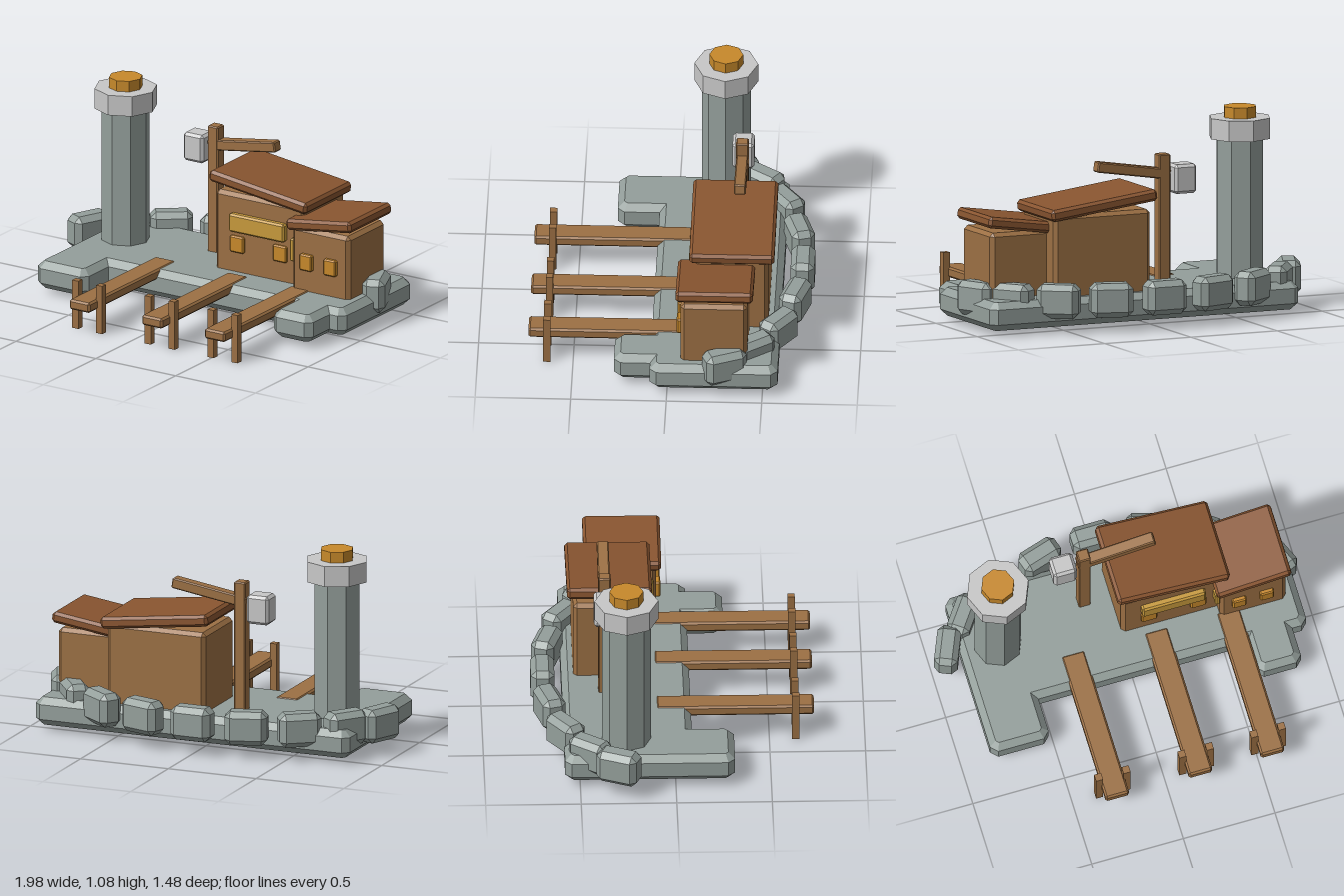
import * as THREE from 'three';
import { ConvexGeometry } from 'three/addons/geometries/ConvexGeometry.js';

const mat = (name, color) => {
  const m = new THREE.MeshStandardMaterial({ color });
  m.name = name;
  m.flatShading = true;
  return m;
};

// Box with every edge and corner chamfered by c
function chamferBox(w, h, d, c) {
  const pts = [];
  for (const x of [-1, 1]) for (const y of [-1, 1]) for (const z of [-1, 1]) {
    const a = x * w / 2, b = y * h / 2, e = z * d / 2;
    pts.push(new THREE.Vector3(a, b - y * c, e - z * c));
    pts.push(new THREE.Vector3(a - x * c, b, e - z * c));
    pts.push(new THREE.Vector3(a - x * c, b - y * c, e));
  }
  return new ConvexGeometry(pts);
}

export function createModel() {
  const model = new THREE.Group();
  model.name = 'harbour';
  const stone = mat('stone', 0x949f9b);
  const wood = mat('wood', 0x9c7044);
  const roofing = mat('roofing', 0x895530);
  const pale = mat('paleGrey', 0xc8c8c8);
  const gold = mat('gold', 0xc7892b);
  const signGold = mat('signGold', 0xc79a3c);

  const add = (name, geometry, material, x, y, z) => {
    const mesh = new THREE.Mesh(geometry, material);
    mesh.name = name;
    mesh.position.set(x, y, z);
    model.add(mesh);
    return mesh;
  };
  // Chamfered block given by its limits
  const block = (name, material, x0, x1, y0, y1, z0, z1, c) =>
    add(name, chamferBox(x1 - x0, y1 - y0, z1 - z0, c), material,
      (x0 + x1) / 2, (y0 + y1) / 2, (z0 + z1) / 2);

  // Quay slab with two arms, outer corners cut, bevelled top and bottom
  const k = 0.035;
  const outline = [
    [-0.84 + k, -0.58], [0.95 - k, -0.58], [0.95, -0.58 + k], [0.95, 0.09 - k], [0.95 - k, 0.09],
    [0.865, 0.09], [0.865, 0.28 - k], [0.865 - k, 0.28], [0.62 + k, 0.28], [0.62, 0.28 - k],
    [0.62, 0.09], [-0.52, 0.09], [-0.52, 0.31 - k], [-0.52 - k, 0.31], [-0.84 + k, 0.31],
    [-0.84, 0.31 - k], [-0.84, -0.58 + k],
  ];
  const slab = new THREE.ExtrudeGeometry(
    new THREE.Shape(outline.map(([x, z]) => new THREE.Vector2(x, z))),
    { depth: 0.15 - 2 * k, bevelThickness: k, bevelSize: k, bevelOffset: -k, bevelSegments: 1 });
  slab.rotateX(Math.PI / 2);
  add('quay', slab, stone, 0, 0.18 - k, 0);

  // Breakwater rocks in a mirrored arc
  const rocks = [[0.9, -0.3, 67], [0.77, -0.447, 54], [0.562, -0.572, 36], [0.294, -0.65, 17], [0, -0.68, 0]];
  for (const [x, z, deg] of rocks) {
    for (const side of x ? [-1, 1] : [1]) {
      const rock = add('breakwaterRock', chamferBox(0.225, 0.18, 0.125, 0.03), stone, side * x, 0.17, z);
      rock.rotation.y = -side * THREE.MathUtils.degToRad(deg);
    }
  }

  // Lighthouse: shaft, gallery and lamp
  const tower = (name, material, r, y0, y1) =>
    add(name, new THREE.CylinderGeometry(r, r, y1 - y0, 8), material, -0.64, (y0 + y1) / 2, -0.255);
  tower('towerShaft', stone, 0.128, 0.16, 0.92);
  tower('towerGallery', pale, 0.167, 0.91, 1.02);
  tower('towerLamp', gold, 0.089, 1.01, 1.078);

  // Houses
  block('mainHouse', wood, 0, 0.56, 0.15, 0.61, -0.518, -0.13, 0.02);
  block('sideHouse', wood, 0.52, 0.88, 0.15, 0.525, -0.42, -0.07, 0.02);
  add('mainRoof', chamferBox(0.615, 0.062, 0.445, 0.015), roofing, 0.28, 0.65, -0.328).rotation.z = -0.125;
  add('sideRoof', chamferBox(0.41, 0.06, 0.405, 0.015), roofing, 0.7, 0.56, -0.247).rotation.z = 0.14;

  // Windows, sign board and side plate
  for (const x of [0.147, 0.415])
    block('mainWindow', gold, x - 0.043, x + 0.043, 0.29, 0.38, -0.135, -0.112, 0.007);
  for (const x of [0.62, 0.77])
    block('sideWindow', gold, x - 0.038, x + 0.038, 0.298, 0.387, -0.08, -0.047, 0.007);
  block('signBoard', signGold, 0.105, 0.452, 0.405, 0.505, -0.14, -0.097, 0.01);
  block('sidePlate', signGold, 0.498, 0.526, 0.32, 0.445, -0.15, -0.085, 0.007);

  // Crane: post, boom and counterweight
  block('cranePost', wood, -0.175, -0.11, 0.15, 0.873, -0.39, -0.325, 0.006);
  add('craneBoom', chamferBox(0.425, 0.056, 0.062, 0.006), wood, 0.034, 0.796, -0.358).rotation.z = 0.155;
  block('craneWeight', pale, -0.317, -0.19, 0.66, 0.815, -0.417, -0.303, 0.015);

  // Three jetties, each with a pair of mooring posts
  for (const x of [-0.28, 0.174, 0.567]) {
    block('jettyDeck', wood, x - 0.064, x + 0.064, 0.13, 0.185, -0.09, 0.735, 0.01);
    for (const s of [-1, 1])
      add('mooringPost', new THREE.BoxGeometry(0.038, 0.264, 0.038), wood, x + s * 0.075, 0.132, 0.638);
  }
  return model;
}
